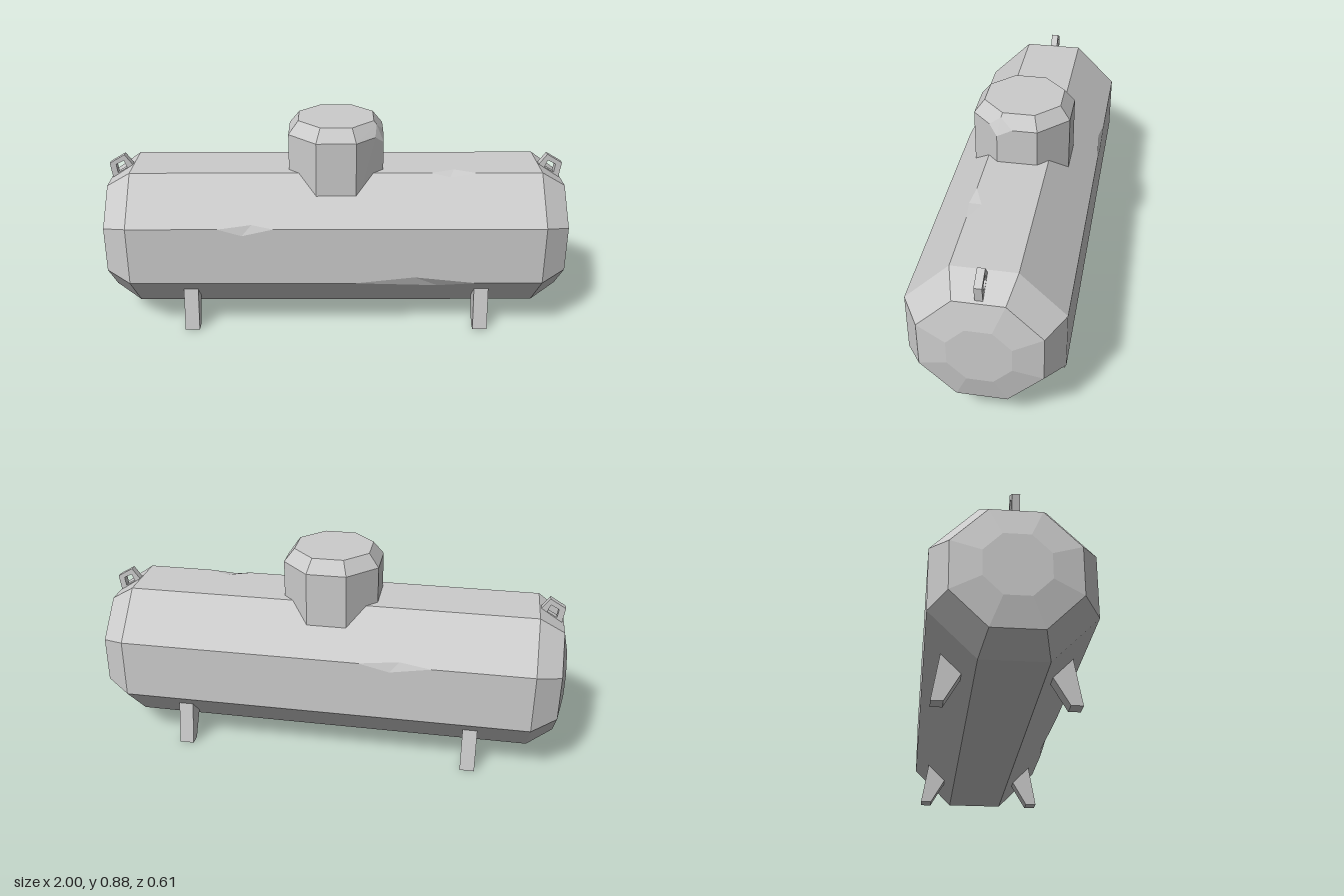
import * as THREE from 'three';
import { ConvexGeometry } from 'three/addons/geometries/ConvexGeometry.js';
import { mergeGeometries } from 'three/addons/utils/BufferGeometryUtils.js';

const CY = 0.37;            // height of the tank axis
const HALF = 0.87;          // half length of the straight barrel
const STEP = Math.PI / 4;
const toCorner = (apothem) => apothem / Math.cos(STEP / 2);
const R = toCorner(0.304);
const SIDE = 2 * R * Math.sin(STEP / 2);

// Dents in the long edges: edge index, start, end, dip on the next face, dip on the previous face
const dents = [
  { edge: 0, from: -0.49, to: -0.26, next: [-0.35, 0.02], prev: [-0.39, 0.03] },
  { edge: 1, from: 0.4, to: 0.59, next: [0.5, 0.04], prev: [0.48, 0.02] },
  { edge: 3, from: -0.45, to: -0.15, next: [-0.28, 0.03], prev: [-0.32, 0.02] },
  { edge: 7, from: 0.08, to: 0.59, next: [0.33, 0.028], prev: [0.43, 0.03] },
];

// Point on barrel face k: x along the tank, v across the face
function onFace(k, x, v) {
  const corner = (i) => {
    const a = STEP / 2 + i * STEP;
    return new THREE.Vector3(x, CY + R * Math.sin(a), R * Math.cos(a));
  };
  return corner(k).lerp(corner(k + 1), v / SIDE);
}

// Eight flat faces with notched outlines, plus the facets that close each dent
function barrelGeometry() {
  const parts = [];
  for (let k = 0; k < 8; k++) {
    const outline = [[-HALF, 0]];
    for (const d of dents.filter((d) => d.edge === k)) outline.push([d.from, 0], d.next, [d.to, 0]);
    outline.push([HALF, 0], [HALF, SIDE]);
    for (const d of dents.filter((d) => d.edge === (k + 1) % 8)) {
      outline.push([d.to, SIDE], [d.prev[0], SIDE - d.prev[1]], [d.from, SIDE]);
    }
    outline.push([-HALF, SIDE]);
    const face = new THREE.ShapeGeometry(new THREE.Shape(outline.map((p) => new THREE.Vector2(...p)))).toNonIndexed();
    const pos = face.attributes.position;
    for (let i = 0; i < pos.count; i++) {
      const p = onFace(k, pos.getX(i), pos.getY(i));
      pos.setXYZ(i, p.x, p.y, p.z);
    }
    face.deleteAttribute('uv');
    face.deleteAttribute('normal');
    parts.push(face);
  }
  for (const d of dents) {
    const p0 = onFace(d.edge, d.from, 0);
    const p1 = onFace(d.edge, d.to, 0);
    const a = onFace(d.edge, ...d.next);
    const b = onFace(d.edge - 1, d.prev[0], SIDE - d.prev[1]);
    parts.push(new THREE.BufferGeometry().setFromPoints([p0, b, a, b, p1, a]));
  }
  const geometry = mergeGeometries(parts);
  geometry.computeVertexNormals();
  return geometry;
}

// Octagonal hatch with a bevelled lid and one chipped rim corner
function hatchGeometry() {
  const points = [];
  for (const [apothem, y] of [[0.2, 0.55], [0.2, 0.83], [0.158, 0.885]]) {
    for (let k = 0; k < 8; k++) {
      if (y === 0.83 && k === 0) continue;
      const a = STEP / 2 + k * STEP;
      const r = toCorner(apothem);
      points.push(new THREE.Vector3(r * Math.cos(a), y, r * Math.sin(a)));
    }
  }
  points.push(
    new THREE.Vector3(0.2, 0.797, 0.083),
    new THREE.Vector3(0.2, 0.83, 0.02),
    new THREE.Vector3(0.163, 0.83, 0.12),
    new THREE.Vector3(0.17, 0.87, 0.07),
  );
  return new ConvexGeometry(points);
}

// Flat outline pulled to a thickness, centred on its own plane
function plate(points, depth, hole) {
  const toVectors = (list) => list.map((p) => new THREE.Vector2(...p));
  const shape = new THREE.Shape(toVectors(points));
  if (hole) shape.holes.push(new THREE.Path(toVectors(hole)));
  return new THREE.ExtrudeGeometry(shape, { depth, bevelEnabled: false }).translate(0, 0, -depth / 2);
}

export function createModel() {
  const model = new THREE.Group();
  model.name = 'storageTank';
  const material = new THREE.MeshStandardMaterial({ color: 0xcccccc, flatShading: true });
  const add = (name, geometry) => {
    const mesh = new THREE.Mesh(geometry, material);
    mesh.name = name;
    model.add(mesh);
    return mesh;
  };

  add('tankBarrel', barrelGeometry());
  add('hatch', hatchGeometry());

  // Stepped end cap, turned from a profile and laid along x
  const profile = [[R, HALF], [toCorner(0.235), 0.976], [toCorner(0.122), 1], [0, 1]];
  const cap = new THREE.LatheGeometry(profile.map((p) => new THREE.Vector2(...p)), 8, STEP / 2);
  cap.rotateZ(-Math.PI / 2).translate(0, CY, 0);

  // Lifting lug standing on the sloped shoulder
  const lug = plate(
    [[0.87, 0.66], [0.965, 0.6], [0.976, 0.676], [0.91, 0.715]], 0.03,
    [[0.902, 0.656], [0.944, 0.632], [0.949, 0.67], [0.914, 0.688]],
  );

  // Splayed leg, drawn in the z-y plane
  const leg = plate([[0.277, 0], [0.24, 0.215], [0.15, 0.138], [0.23, 0]], 0.062);
  leg.rotateY(-Math.PI / 2);

  for (const [side, turn] of [['left', 0], ['right', Math.PI]]) {
    add(side + 'EndCap', cap).rotation.y = turn;
    add(side + 'LiftingLug', lug).rotation.y = turn;
    for (const [end, legTurn] of [['Front', 0], ['Back', Math.PI]]) {
      const mesh = add(side + end + 'Leg', leg);
      mesh.rotation.y = legTurn;
      mesh.position.x = turn ? -0.625 : 0.625;
    }
  }
  return model;
}
